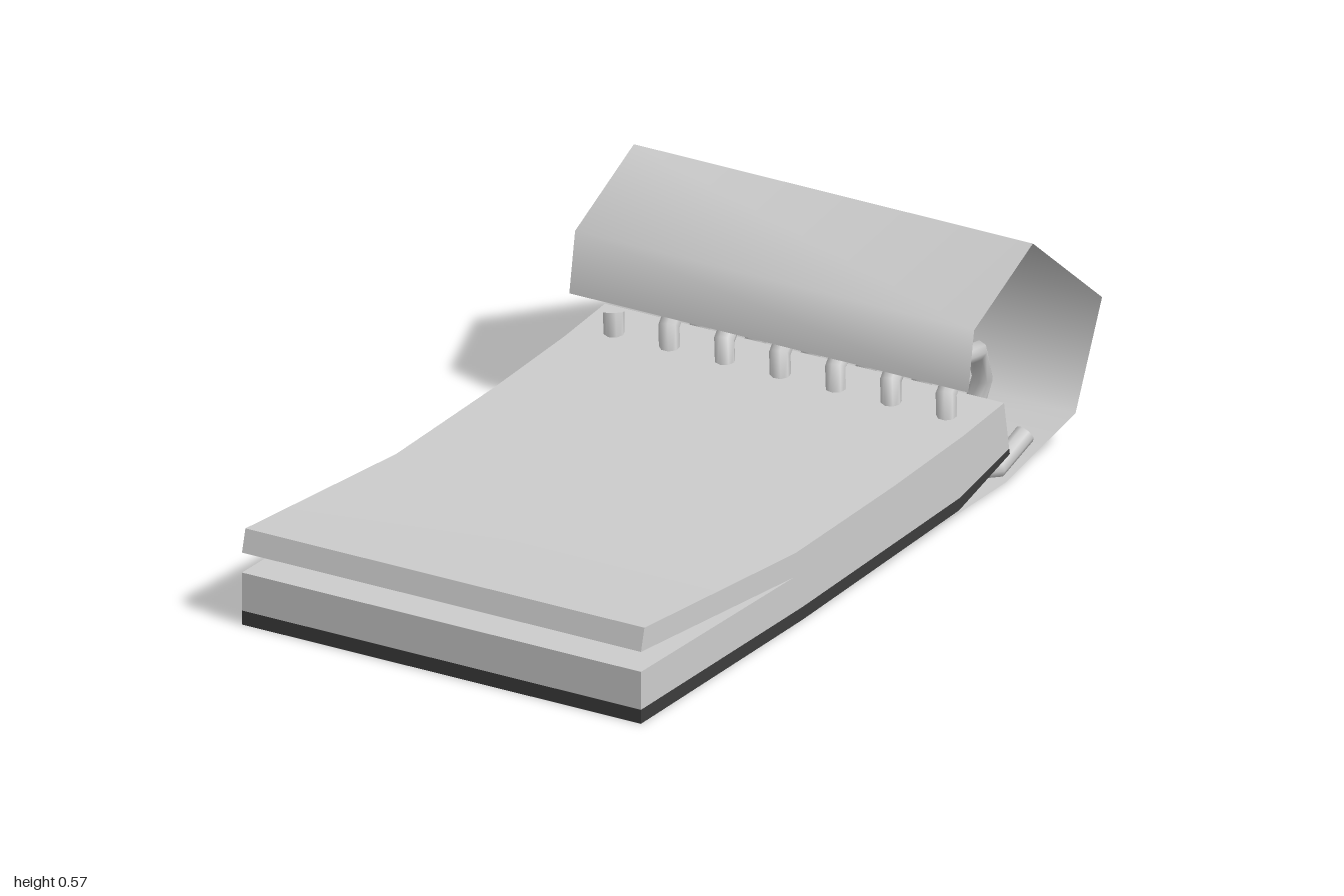
import * as THREE from 'three';
import { toCreasedNormals } from 'three/addons/utils/BufferGeometryUtils.js';

const LEFT = 0.55, RIGHT = -0.53;

// Extrudes a side profile of [z, y] points across the width of the pad
function extrudeAcross(points, material, name) {
  const shape = new THREE.Shape(points.map(([z, y]) => new THREE.Vector2(-z, y)));
  const geometry = new THREE.ExtrudeGeometry(shape, { depth: LEFT - RIGHT, bevelEnabled: false });
  geometry.rotateY(Math.PI / 2);
  geometry.translate(RIGHT, 0, 0);
  const mesh = new THREE.Mesh(toCreasedNormals(geometry, 0.5), material);
  mesh.name = name;
  return mesh;
}

// Thin sheet swept along [z, y, sideways shift] points, smooth shaded
function sheet(profile, material, name) {
  const positions = [], index = [];
  profile.forEach(([z, y, shift], i) => {
    positions.push(RIGHT + shift, y, z, LEFT + shift, y, z);
    if (i > 0) {
      const a = 2 * i - 2;
      index.push(a, a + 2, a + 1, a + 1, a + 2, a + 3);
    }
  });
  const geometry = new THREE.BufferGeometry();
  geometry.setAttribute('position', new THREE.Float32BufferAttribute(positions, 3));
  geometry.setIndex(index);
  geometry.computeVertexNormals();
  const mesh = new THREE.Mesh(geometry, material);
  mesh.name = name;
  return mesh;
}

export function createModel() {
  const paper = new THREE.MeshStandardMaterial({ color: 0xcccccc });
  paper.name = 'paper grey';
  const coverGrey = new THREE.MeshStandardMaterial({ color: 0xcacaca, side: THREE.DoubleSide });
  coverGrey.name = 'cover grey';
  const dark = new THREE.MeshStandardMaterial({ color: 0x3c3c3c });
  dark.name = 'dark board';

  const group = new THREE.Group();
  group.name = 'notepad';

  // Stack of pages, split open at the front edge
  group.add(extrudeAcross([
    [1, 0.035], [1, 0.13], [0.34, 0.122], [1, 0.18], [0.985, 0.235], [0.33, 0.18],
    [-0.1, 0.19], [-0.4, 0.205], [-0.575, 0.222], [-0.597, 0.1], [-0.38, 0.055], [0.3, 0.034],
  ], paper, 'pages'));

  // Backing board under the pages
  group.add(extrudeAcross([
    [1, 0], [1, 0.035], [0.3, 0.034], [-0.38, 0.055], [-0.597, 0.1],
    [-0.6, 0.085], [-0.38, 0.025], [0.3, 0.002],
  ], dark, 'backingBoard'));

  // Cover folded back over the binding and under the pad
  group.add(sheet([
    [-0.42, 0.305, 0], [-0.445, 0.452, 0], [-0.7, 0.575, 0], [-1, 0.33, 0],
    [-0.885, 0.082, 0], [-0.615, 0.004, -0.02], [-0.23, 0, -0.02],
  ], coverGrey, 'cover'));

  // Spiral binding: eight straight pieces per turn
  const pitch = 0.15, coil = [];
  for (let i = -4; i <= 48; i++) {
    const angle = 0.63 + i * Math.PI / 4;
    coil.push(new THREE.Vector3(
      0.46 - pitch * (angle - 0.4) / (Math.PI * 2),
      0.176 + 0.138 * Math.sin(angle),
      -0.588 + 0.138 * Math.cos(angle)));
  }
  const binding = new THREE.Mesh(
    new THREE.TubeGeometry(new THREE.CatmullRomCurve3(coil), coil.length - 1, 0.025, 8), paper);
  binding.name = 'spiralBinding';
  group.add(binding);

  return group;
}
